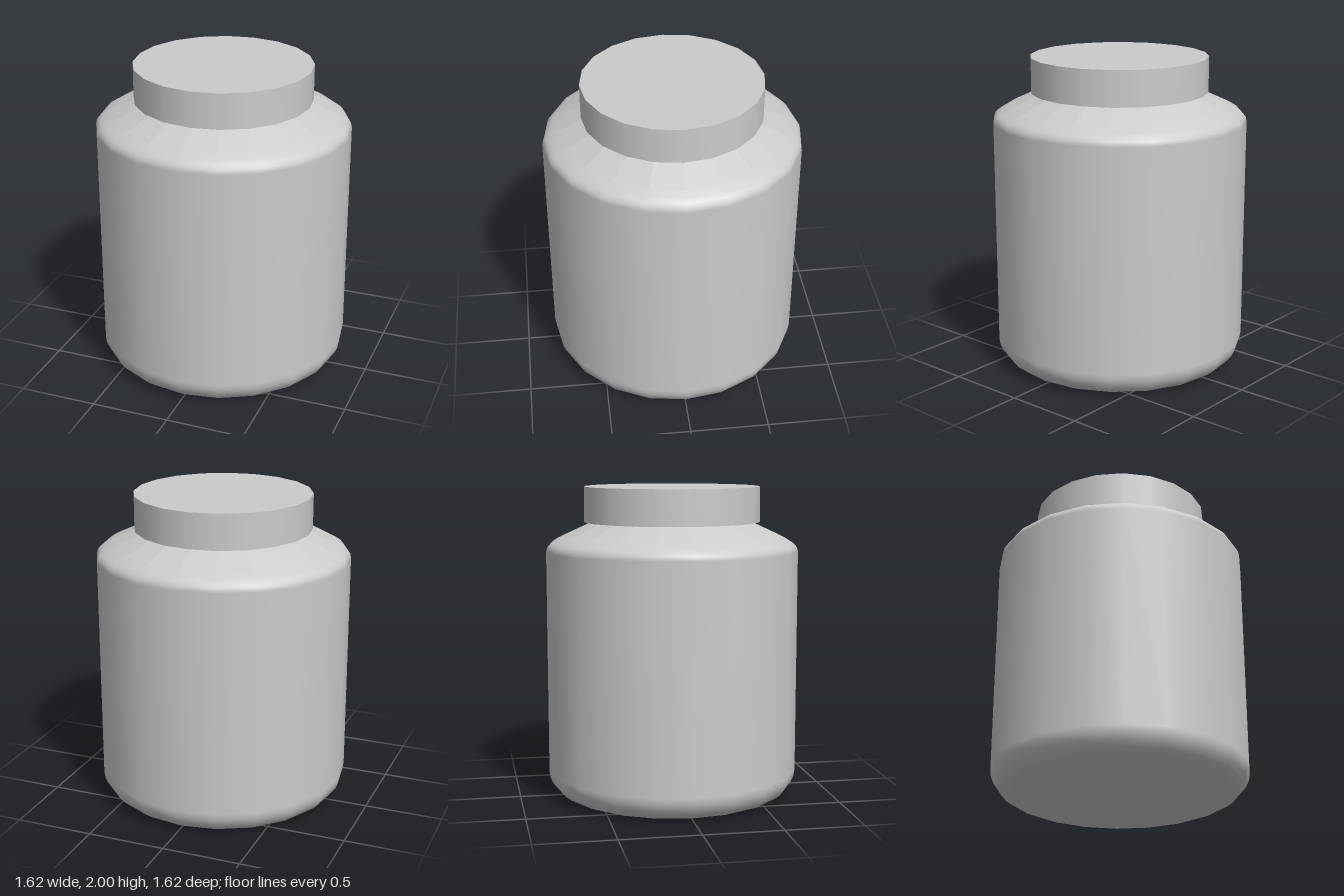
import * as THREE from 'three';

const SIDES = 20;

// Surface of revolution from [radius, height] pairs, listed bottom to top
function lathe(name, profile, flatShading = false) {
  const points = profile.map(([r, y]) => new THREE.Vector2(r, y));
  const material = new THREE.MeshStandardMaterial({ color: 0xcccccc, flatShading });
  const mesh = new THREE.Mesh(new THREE.LatheGeometry(points, SIDES), material);
  mesh.name = name;
  return mesh;
}

export function createModel() {
  const group = new THREE.Group();
  group.name = 'jar';

  // Body wall with a rounded lower edge and a softer upper edge
  const R = 0.81, fillet = 0.165;
  const wall = [];
  for (let i = 0; i <= 6; i++) {
    const a = (i / 6) * Math.PI / 2;
    wall.push([R - fillet + fillet * Math.sin(a), fillet - fillet * Math.cos(a)]);
  }
  wall.push([R, 1.59], [0.803, 1.618], [0.785, 1.64], [0.755, 1.66], [0.71, 1.683]);
  group.add(lathe('bodyWall', wall));

  // Flat base
  group.add(lathe('base', [[0, 0], [R - fillet, 0]]));

  // Faceted shoulder sloping in to the neck
  group.add(lathe('shoulder', [[0.71, 1.683], [0.5, 1.78]], true));

  // Neck hidden inside the lid
  group.add(lathe('neck', [[0.5, 1.78], [0.5, 1.95]]));

  // Lid
  const lid = new THREE.Mesh(
    new THREE.CylinderGeometry(0.565, 0.565, 0.225, SIDES),
    new THREE.MeshStandardMaterial({ color: 0xcccccc })
  );
  lid.name = 'lid';
  lid.position.y = 1.8875;
  group.add(lid);

  return group;
}
